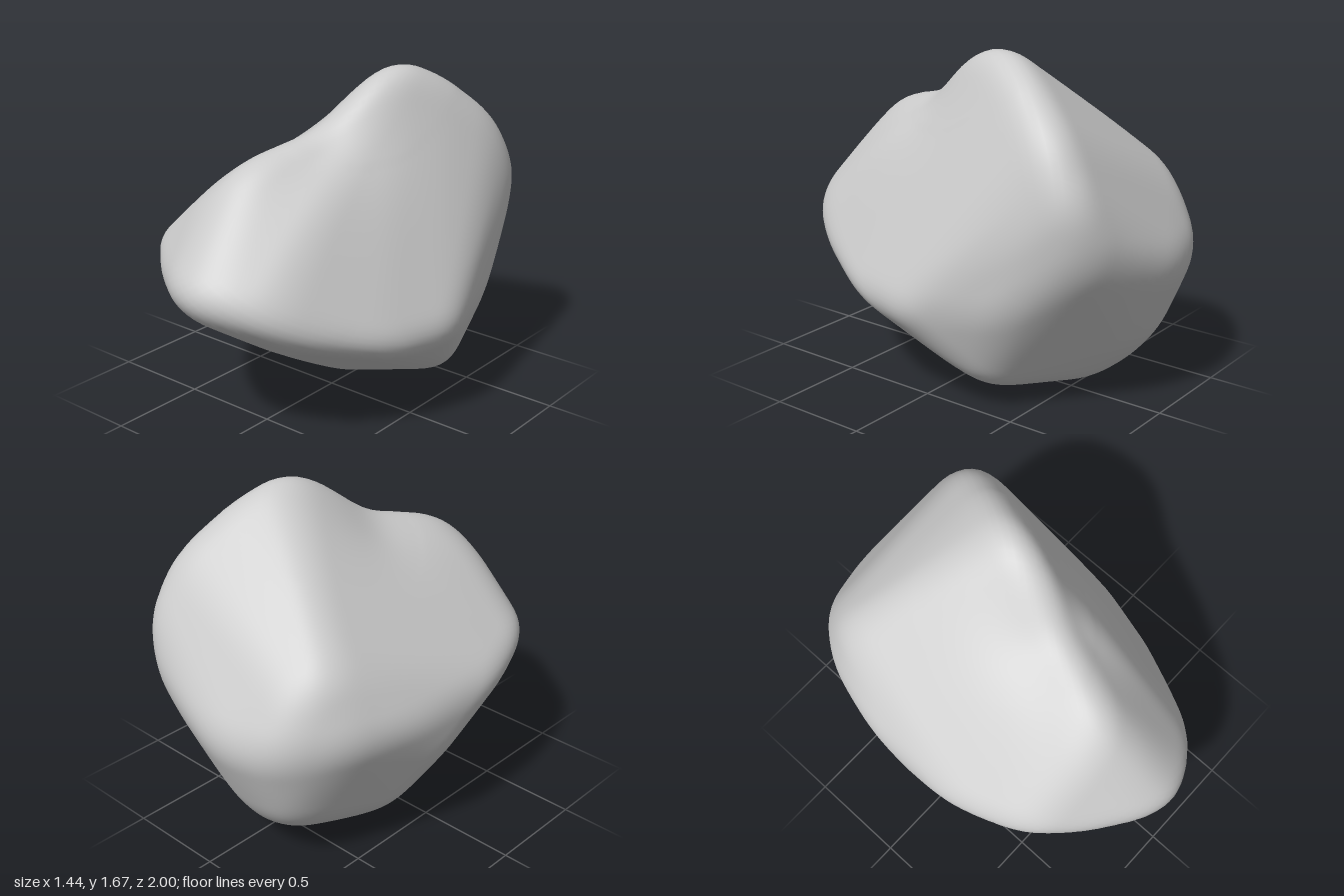
import * as THREE from 'three';
import { ConvexGeometry } from 'three/addons/geometries/ConvexGeometry.js';
import { mergeVertices } from 'three/addons/utils/BufferGeometryUtils.js';

// Points the finished surface passes through at the boulder's corners and edges
const CORNERS = [
  [0.23, 1.665, -0.19], [0.34, 1.58, -0.42], [0.46, 1.37, -0.67], [0.5, 1.12, -0.82], // peak and rear ridge
  [-0.02, 1.31, 0.56], [-0.2, 1.18, 0.62], [-0.4, 0.99, 0.62], [-0.6, 0.81, 0.56],    // front shoulder
  [-0.38, 0.73, 0.78], [-0.07, 0.75, 0.985], [0.11, 0.75, 0.985], [0.34, 0.74, 0.82], // nose
  [-0.695, 0.77, 0.28], [-0.695, 0.76, -0.34], [-0.68, 0.5, -0.1],                    // left edge
  [-0.48, 1.08, -0.64], [-0.42, 0.97, -0.81], [-0.6, 0.74, -0.67],                    // rear left
  [-0.4, 0.72, -0.92], [-0.1, 0.7, -1], [0.15, 0.75, -0.97], [0.44, 0.82, -0.87],     // back
  [0.41, 0.6, 0.72], [0.6, 0.5, 0.38], [0.715, 0.5, 0], [0.64, 0.68, -0.32],          // right edge
  [0.59, 0.55, -0.52], [0.6, 0.29, -0.2], [0.46, 0.13, -0.32],                        // lower right
  [0.01, 0.34, 0.45], [-0.2, 0.08, 0], [-0.06, 0, -0.18], [-0.24, 0.04, -0.36],       // underside
  [-0.05, 0.065, -0.6], [-0.05, 0.25, -0.8], [-0.34, 0.27, -0.76], [-0.5, 0.2, -0.25],
];
const CENTRE = new THREE.Vector3(0, 0.74, -0.05);
const WEAR = 0.15; // angle over which edges are rounded

// One plane (normal / distance) for each triangle of the convex hull
function hullPlanes(points) {
  const hull = new ConvexGeometry(points).getAttribute('position');
  const planes = [];
  for (let i = 0; i < hull.count; i += 3) {
    const [a, b, c] = [0, 1, 2].map((k) => new THREE.Vector3().fromBufferAttribute(hull, i + k));
    const normal = b.clone().sub(a).cross(c.sub(a));
    if (normal.length() < 1e-6) continue;
    normal.normalize();
    planes.push(normal.divideScalar(normal.dot(a)));
  }
  return planes;
}

// Averages the inverse hull radius over a small disc of directions
function wornRadius(dir, planes) {
  const side = new THREE.Vector3(0, 1, 0);
  if (Math.abs(dir.y) > 0.8) side.set(1, 0, 0);
  const u = side.cross(dir).normalize();
  const v = dir.clone().cross(u);
  const sample = new THREE.Vector3();
  const count = 40;
  let sum = 0;
  for (let i = 0; i < count; i++) {
    const r = WEAR * Math.sqrt((i + 0.5) / count);
    const t = i * 2.39996;
    sample.copy(dir).addScaledVector(u, r * Math.cos(t)).addScaledVector(v, r * Math.sin(t));
    let inverse = 0;
    for (const p of planes) inverse = Math.max(inverse, p.dot(sample));
    sum += inverse;
  }
  return count / sum;
}

// Grows the hull's corners until the worn surface reaches the wanted points
function unwornPlanes() {
  const targets = CORNERS.map((c) => new THREE.Vector3(...c).sub(CENTRE));
  const points = targets.map((t) => t.clone());
  for (let pass = 0; pass < 4; pass++) {
    const planes = hullPlanes(points);
    targets.forEach((t, i) => {
      const size = t.length();
      const reached = wornRadius(t.clone().normalize(), planes);
      const grown = points[i].length() + 0.7 * (size - reached);
      points[i].setLength(THREE.MathUtils.clamp(grown, size * 0.96, size * 1.12));
    });
  }
  return hullPlanes(points);
}

export function createModel() {
  const planes = unwornPlanes();
  let geometry = new THREE.IcosahedronGeometry(1, 30);
  geometry.deleteAttribute('normal');
  geometry.deleteAttribute('uv');
  geometry = mergeVertices(geometry, 1e-4);

  // Push the sphere out to the worn hull, with a shallow hollow behind the shoulder
  const pos = geometry.getAttribute('position');
  const hollow = new THREE.Vector3(0.08, 1.46, 0.2);
  const p = new THREE.Vector3();
  for (let i = 0; i < pos.count; i++) {
    const dir = p.fromBufferAttribute(pos, i).normalize().clone();
    p.multiplyScalar(wornRadius(dir, planes)).add(CENTRE);
    const depth = 0.085 * Math.exp(-p.distanceToSquared(hollow) / 0.09);
    p.addScaledVector(dir, -depth);
    pos.setXYZ(i, p.x, p.y, p.z);
  }
  geometry.computeVertexNormals();

  const boulder = new THREE.Mesh(geometry, new THREE.MeshStandardMaterial({ color: 0xcccccc }));
  boulder.name = 'boulder';
  const group = new THREE.Group();
  group.name = 'rock';
  group.add(boulder);
  return group;
}
